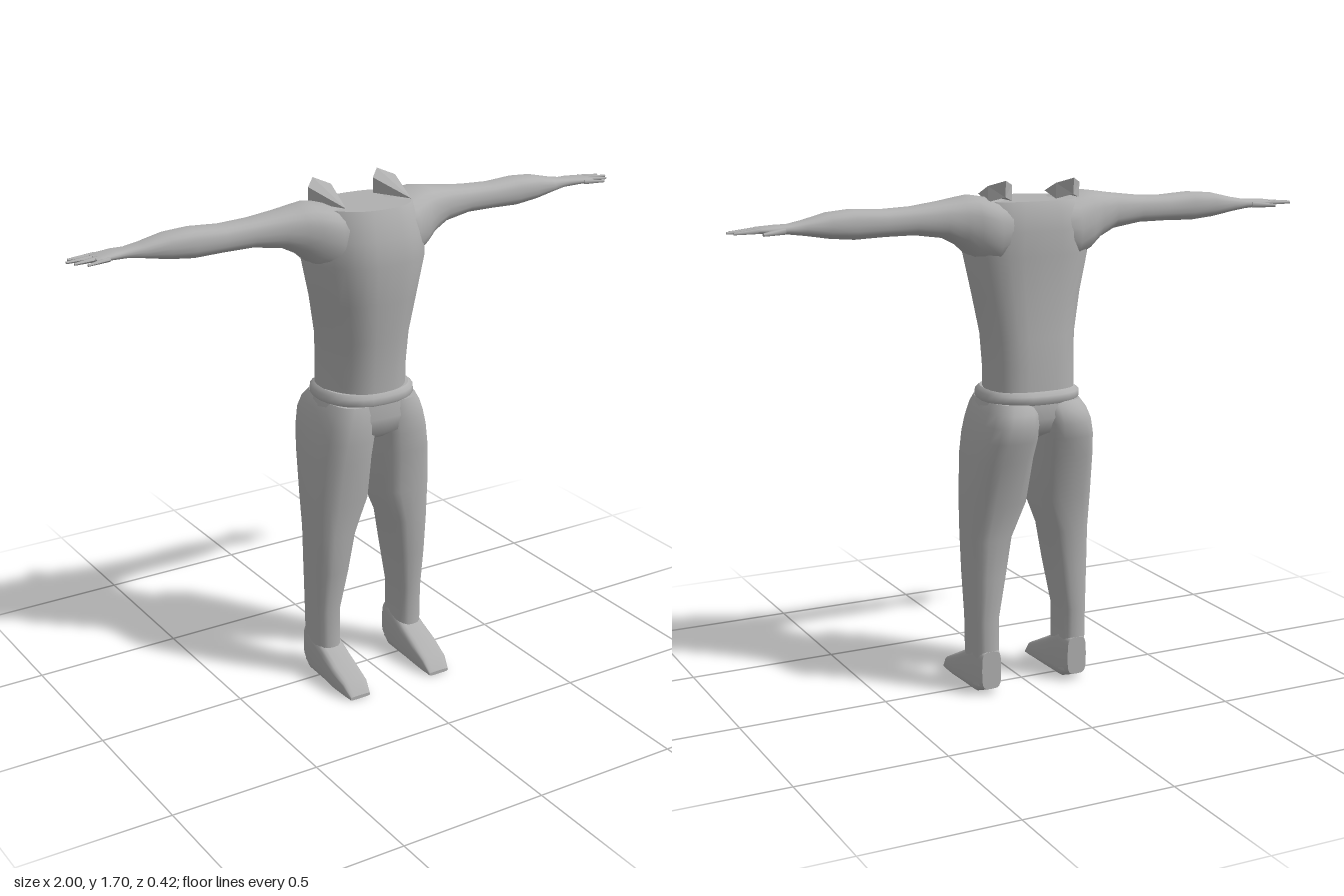
import * as THREE from 'three';

const grey = new THREE.MeshStandardMaterial({ color: 0xb0b0b0 });
grey.name = 'plain grey';

// maps (t along the axis, a, b) to a point so every loft faces outwards
const axes = {
  y: (t, a, b) => [a, t, b], // a = x, b = z
  x: (t, a, b) => [t, b, a], // a = z, b = y
  z: (t, a, b) => [b, a, t], // a = y, b = x
};

// skins rounded sections [t, a0, a1, b0, b1] and closes both ends
// power < 1 makes sections boxier, taper narrows a towards +b
function loft(axis, sections, { power = 0.8, taper = 0, sides = 20 } = {}) {
  const pos = [], idx = [], put = axes[axis];
  const round = (v) => Math.sign(v) * Math.abs(v) ** power;
  const ring = ([t, a0, a1, b0, b1]) => {
    for (let j = 0; j < sides; j++) {
      const k = (j / sides) * Math.PI * 2, s = round(Math.sin(k));
      const a = (a0 + a1) / 2 + ((a1 - a0) / 2) * round(Math.cos(k)) * (1 - taper * Math.max(0, s));
      pos.push(...put(t, a, (b0 + b1) / 2 + ((b1 - b0) / 2) * s));
    }
  };
  sections.forEach(ring);
  for (let i = 0; i < sections.length - 1; i++) {
    for (let j = 0; j < sides; j++) {
      const p = i * sides + j, q = i * sides + ((j + 1) % sides);
      idx.push(p, p + sides, q, q, p + sides, q + sides);
    }
  }
  [sections[0], sections[sections.length - 1]].forEach((s, end) => {
    const start = pos.length / 3;
    ring(s);
    pos.push(...put(s[0], (s[1] + s[2]) / 2, (s[3] + s[4]) / 2));
    for (let j = 0; j < sides; j++) {
      const p = start + j, q = start + ((j + 1) % sides);
      idx.push(start + sides, ...(end ? [q, p] : [p, q]));
    }
  });
  return build(pos, idx);
}

function build(pos, idx) {
  const g = new THREE.BufferGeometry();
  g.setAttribute('position', new THREE.Float32BufferAttribute(pos, 3));
  g.setIndex(idx);
  g.computeVertexNormals();
  return g;
}

// mirrored copy with the corner order turned round
function mirror(geo) {
  const g = geo.clone().scale(-1, 1, 1), i = g.index.array;
  for (let k = 0; k < i.length; k += 3) [i[k], i[k + 1]] = [i[k + 1], i[k]];
  g.computeVertexNormals();
  return g;
}

function finger(from, to, r) {
  const a = new THREE.Vector3(...from), b = new THREE.Vector3(...to), d = b.clone().sub(a);
  const g = new THREE.CylinderGeometry(r * 0.45, r, d.length(), 6);
  g.applyQuaternion(new THREE.Quaternion().setFromUnitVectors(new THREE.Vector3(0, 1, 0), d.normalize()));
  return g.translate(...a.add(b).multiplyScalar(0.5).toArray());
}

export function createModel() {
  const model = new THREE.Group();
  model.name = 'headlessFigure';
  const add = (name, geo) => {
    const m = new THREE.Mesh(geo, grey);
    m.name = name;
    model.add(m);
  };
  const pair = (name, geo) => {
    add('left' + name, geo);
    add('right' + name, mirror(geo));
  };

  // torso, closed flat at the neck
  add('torso', loft('y', [
    [1.0, -0.15, 0.15, -0.165, 0.105],
    [1.1, -0.15, 0.15, -0.165, 0.11],
    [1.2, -0.155, 0.155, -0.16, 0.12],
    [1.33, -0.18, 0.18, -0.155, 0.137],
    [1.46, -0.21, 0.21, -0.16, 0.15],
    [1.54, -0.205, 0.205, -0.165, 0.14],
    [1.6, -0.19, 0.19, -0.155, 0.122],
    [1.632, -0.17, 0.17, -0.14, 0.108],
  ], { power: 0.75, taper: 0.25, sides: 28 }));

  // rolled shirt hem
  add('waistband', loft('y', [
    [0.982, -0.157, 0.157, -0.175, 0.11],
    [0.995, -0.167, 0.167, -0.187, 0.12],
    [1.015, -0.165, 0.165, -0.186, 0.118],
    [1.027, -0.15, 0.15, -0.167, 0.106],
  ], { power: 0.8, taper: 0.05, sides: 28 }));

  add('pelvis', loft('y', [
    [0.86, -0.09, 0.09, -0.1, 0.07],
    [0.89, -0.17, 0.17, -0.165, 0.112],
    [0.94, -0.182, 0.182, -0.185, 0.118],
    [0.99, -0.16, 0.16, -0.178, 0.114],
  ], { sides: 28 }));

  pair('Leg', loft('y', [
    [0.03, 0.112, 0.208, -0.1, 0.045],
    [0.12, 0.115, 0.208, -0.1, 0.045],
    [0.25, 0.115, 0.21, -0.1, 0.045],
    [0.4, 0.088, 0.214, -0.108, 0.068],
    [0.53, 0.066, 0.217, -0.113, 0.08],
    [0.65, 0.018, 0.22, -0.137, 0.093],
    [0.8, 0.008, 0.212, -0.178, 0.112],
    [0.87, 0.0, 0.202, -0.202, 0.12],
    [0.92, -0.002, 0.19, -0.21, 0.12],
    [0.96, -0.004, 0.175, -0.2, 0.117],
    [0.99, -0.004, 0.157, -0.175, 0.11],
  ], { power: 0.75 }));

  pair('Foot', loft('z', [
    [-0.1, 0.02, 0.15, 0.125, 0.195],
    [-0.05, 0, 0.17, 0.11, 0.21],
    [0.04, 0, 0.12, 0.11, 0.21],
    [0.11, 0, 0.085, 0.11, 0.212],
    [0.175, 0, 0.053, 0.112, 0.206],
    [0.21, 0, 0.012, 0.12, 0.196],
  ], { power: 0.5 }));

  // shoulder flowing into the arm and palm
  pair('Arm', loft('x', [
    [0.08, -0.15, 0.1, 1.47, 1.632],
    [0.14, -0.16, 0.1, 1.43, 1.642],
    [0.2, -0.137, 0.07, 1.457, 1.652],
    [0.24, -0.122, 0.05, 1.492, 1.647],
    [0.3, -0.108, 0.03, 1.522, 1.638],
    [0.4, -0.098, 0.012, 1.537, 1.626],
    [0.5, -0.094, 0.01, 1.537, 1.622],
    [0.6, -0.096, 0.009, 1.534, 1.628],
    [0.68, -0.098, 0.002, 1.542, 1.622],
    [0.76, -0.09, -0.014, 1.556, 1.603],
    [0.81, -0.085, -0.025, 1.563, 1.594],
    [0.85, -0.092, -0.016, 1.566, 1.593],
    [0.9, -0.086, -0.008, 1.57, 1.589],
    [0.92, -0.08, -0.012, 1.572, 1.585],
  ]));

  [
    ['Thumb', [0.83, 1.577, -0.082], [0.905, 1.572, -0.11], 0.011],
    ['IndexFinger', [0.9, 1.58, -0.075], [0.985, 1.576, -0.078], 0.009],
    ['MiddleFinger', [0.9, 1.58, -0.052], [1.0, 1.576, -0.053], 0.009],
    ['RingFinger', [0.9, 1.58, -0.032], [0.985, 1.575, -0.028], 0.009],
    ['LittleFinger', [0.88, 1.578, -0.014], [0.955, 1.574, 0.001], 0.008],
  ].forEach(([name, from, to, r]) => pair(name, finger(from, to, r)));

  // faceted shoulder wedges: front tip, upper sides, ridge, lower sides, keel
  const wedge = build([
    0.12, 1.642, 0.07, 0.162, 1.682, -0.09, 0.078, 1.682, -0.09, 0.12, 1.7, -0.133,
    0.162, 1.632, -0.09, 0.078, 1.632, -0.09, 0.12, 1.648, -0.128,
  ], [
    0, 1, 3, 0, 3, 2, 0, 4, 1, 0, 2, 5, 0, 5, 6, 0, 6, 4,
    1, 4, 6, 1, 6, 3, 2, 3, 6, 2, 6, 5,
  ]).toNonIndexed();
  wedge.setIndex([...Array(wedge.attributes.position.count).keys()]);
  wedge.computeVertexNormals();
  pair('ShoulderWedge', wedge);

  return model;
}
